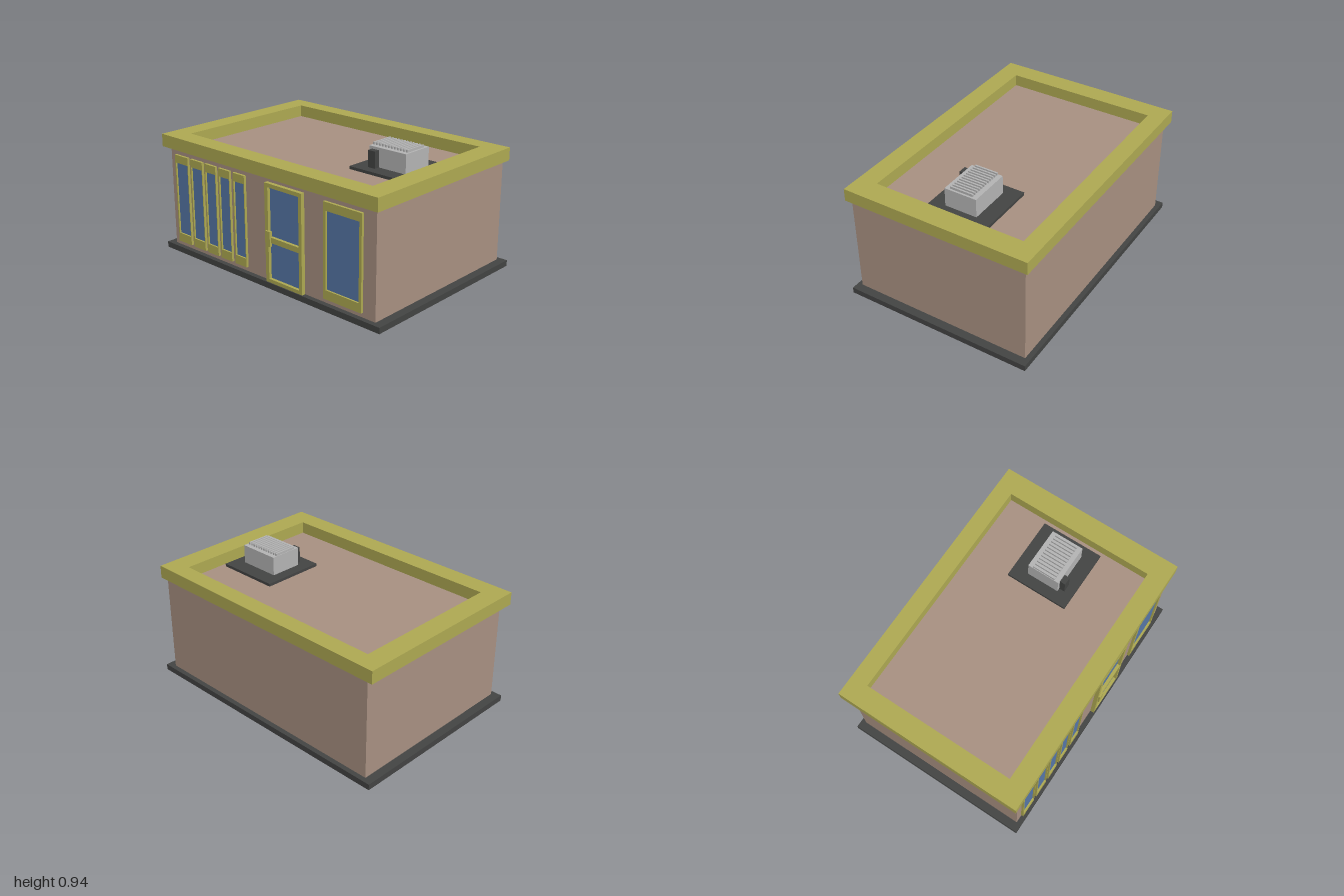
import * as THREE from 'three';

const mat = (color) => new THREE.MeshStandardMaterial({ color });

export function createModel() {
  const model = new THREE.Group();
  const wall = mat(0xa68f80), trim = mat(0xaca751), glass = mat(0x5575a5);
  const dark = mat(0x424342), metal = mat(0xb2b2b2);

  const add = (name, geometry, material, parent = model) => {
    const mesh = new THREE.Mesh(geometry, material);
    mesh.name = name;
    parent.add(mesh);
    return mesh;
  };

  // Box given by its limits along x, y and z
  const box = (name, x0, x1, y0, y1, z0, z1, material, parent) => {
    const mesh = add(name, new THREE.BoxGeometry(x1 - x0, y1 - y0, z1 - z0), material, parent);
    mesh.position.set((x0 + x1) / 2, (y0 + y1) / 2, (z0 + z1) / 2);
    return mesh;
  };

  // Extruded rectangle with rectangular holes, each [x0, x1, y0, y1]
  const trace = (path, [x0, x1, y0, y1]) =>
    path.moveTo(x0, y0).lineTo(x1, y0).lineTo(x1, y1).lineTo(x0, y1).closePath();
  const frameGeometry = (outer, holes, depth) => {
    const shape = trace(new THREE.Shape(), outer);
    shape.holes = holes.map((h) => trace(new THREE.Path(), h));
    return new THREE.ExtrudeGeometry(shape, { depth, bevelEnabled: false });
  };

  // Foundation slab and building body with flat roof
  box('foundation', -1, 1, 0, 0.042, -0.685, 0.685, dark);
  box('walls', -0.94, 0.94, 0.042, 0.765, -0.65, 0.65, wall);

  // Parapet ring around the roof, drawn flat and laid down
  const ring = frameGeometry([-1, 0.97, -0.68, 0.68], [[-0.855, 0.812, -0.54, 0.557]], 0.09);
  ring.rotateX(-Math.PI / 2);
  add('parapet', ring, trim).position.y = 0.76;

  // Framed panes on the front wall
  const front = 0.65;
  const opening = (name, outer, panes, depth) => {
    const group = new THREE.Group();
    group.name = name;
    model.add(group);
    add('frame', frameGeometry(outer, panes, depth), trim, group).position.z = front;
    for (const [x0, x1, y0, y1] of panes)
      box('pane', x0, x1, y0, y1, front - 0.01, front + 0.006, glass, group);
    return group;
  };

  // Five narrow windows, narrowing towards the door
  const narrow = [[-0.885, -0.748], [-0.72, -0.596], [-0.57, -0.458], [-0.43, -0.319], [-0.286, -0.175]];
  for (const [x0, x1] of narrow)
    opening('narrowWindow', [x0, x1, 0.075, 0.72], [[x0 + 0.009, x1 - 0.005, 0.138, 0.663]], 0.018);
  opening('wideWindow', [0.528, 0.84, 0.075, 0.72], [[0.55, 0.82, 0.138, 0.663]], 0.018);

  // Door with two panes and a handle
  const door = opening('door', [0.026, 0.354, 0.042, 0.727],
    [[0.055, 0.328, 0.067, 0.325], [0.055, 0.328, 0.363, 0.7]], 0.028);
  box('handle', 0.037, 0.08, 0.3, 0.405, 0.67, 0.69, trim, door);

  // Rooftop air conditioner
  const unit = new THREE.Group();
  unit.name = 'airConditioner';
  model.add(unit);
  box('pad', 0.32, 0.78, 0.76, 0.785, -0.257, 0.195, dark, unit);
  box('housing', 0.398, 0.7, 0.785, 0.918, -0.145, 0.09, metal, unit);
  box('controlBox', 0.422, 0.48, 0.785, 0.9, 0.09, 0.13, dark, unit);
  for (let i = 0; i < 12; i++) {
    const x = 0.408 + i * 0.0247;
    box('fin', x - 0.006, x + 0.006, 0.918, 0.935, -0.112, 0.057, metal, unit);
  }
  return model;
}
